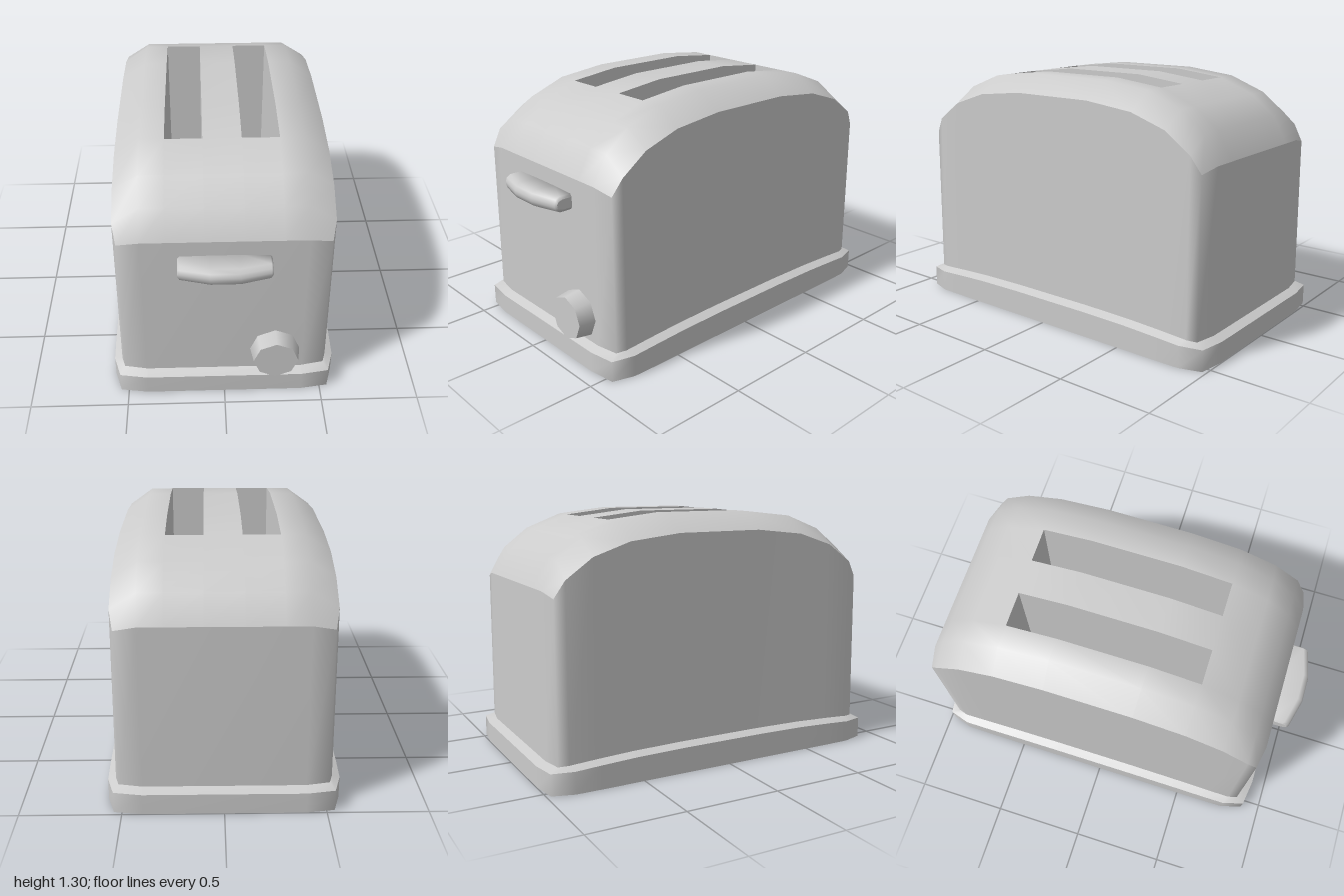
import * as THREE from 'three';

const material = new THREE.MeshStandardMaterial({ color: 0xcccccc, side: THREE.DoubleSide });
const ZC = -0.04; // z of the body centre

function mesh(name, geometry) {
  const m = new THREE.Mesh(geometry, material);
  m.name = name;
  return m;
}

// Skin a list of rows of [x, y, z] points; flat gives faceted shading.
function skin(rows, closed = false, flat = false) {
  const n = rows[0].length, index = [];
  for (let r = 0; r < rows.length - 1; r++) {
    for (let c = 0; c < (closed ? n : n - 1); c++) {
      if (rows.skip && rows.skip(r, c)) continue;
      const a = r * n + c, b = r * n + (c + 1) % n;
      index.push(a, b, b + n, a, b + n, a + n);
    }
  }
  let g = new THREE.BufferGeometry();
  g.setAttribute('position', new THREE.Float32BufferAttribute(rows.flat(2), 3));
  g.setIndex(index);
  if (flat) g = g.toNonIndexed();
  g.computeVertexNormals();
  return g;
}

// Mirror one quarter outline (front centre towards side) into a full ring.
function ring(quarter) {
  const rev = [...quarter].reverse();
  const place = (pts, sx, sz) => pts.map(([x, y, z]) => [sx * x, y, ZC + sz * z]);
  return [...place(quarter, 1, 1), ...place(rev, 1, -1), ...place(quarter, -1, -1), ...place(rev, -1, 1)];
}

// Roof arch: half lengths and heights at the middle, and at the lowered side edge
const arch = [[0.908, 0.96], [0.83, 1.1], [0.7, 1.2], [0.505, 1.275], [0.235, 1.305]];
const edge = [[0.51, 0.935, 0.888], [0.527, 1.02, 0.835], [0.527, 1.12, 0.695], [0.526, 1.185, 0.5], [0.525, 1.215, 0.23]];
const both = (half) => [...half.map((p) => [p, 1]), ...[...half].reverse().map((p) => [p, -1])];

function createBody() {
  const body = new THREE.Group();
  body.name = 'body';

  // Walls, rising to the arched edge
  const top = [[0.4, 0.96, 0.908], ...edge];
  const foot = top.map(([x, , z], i) => [i ? x + 0.007 : x, 0.1, z + 0.004]);
  body.add(mesh('walls', skin([ring(foot), ring(top)], true)));

  // Roof with two slot openings
  const columns = [-0.4, -0.28, -0.095, 0.095, 0.28, 0.4];
  const sides = both(edge);
  const rows = both(arch).map(([[h, y], s], i) => {
    const [ex, ey, ez] = sides[i][0], z = ZC + s * ez;
    return [[-ex, ey, z], ...columns.map((x) => [x, y, ZC + s * h]), [ex, ey, z]];
  });
  rows.skip = (r, c) => r >= 3 && r <= 5 && (c === 2 || c === 4);
  body.add(mesh('roof', skin(rows)));

  // Slot linings
  const floorY = 0.45;
  for (const c of [2, 4]) {
    const span = rows.slice(3, 7);
    const rim = [...span.map((r) => r[c]), ...span.map((r) => r[c + 1]).reverse()];
    const low = rim.map(([x, , z]) => [x, floorY, z]);
    const slot = new THREE.Group();
    slot.name = c === 2 ? 'rightSlot' : 'leftSlot';
    slot.add(mesh('slotWalls', skin([low, rim], true, true)));
    slot.add(mesh('slotFloor', skin([[low[0], low[7]], [low[3], low[4]]])));
    body.add(slot);
  }
  return body;
}

function createBase() {
  const base = new THREE.Group();
  base.name = 'base';
  // Outer outline with a slightly bowed rim, and the ledge meeting the walls
  const rim = [[0.4, 0.108, 0.958], [0.54, 0.11, 0.938], [0.575, 0.114, 0.825], [0.577, 0.122, 0.69], [0.577, 0.13, 0.5], [0.577, 0.134, 0.23]];
  const inner = [[0.4, 0.128, 0.908], ...edge].map(([x, , z], i) => [i ? x + 0.005 : x, rim[i][1] + 0.02, z]);
  const outer = ring(rim), bottom = outer.map(([x, , z]) => [x, 0, z]);
  const centre = bottom.map(() => [0, 0, ZC]);
  base.add(mesh('baseSides', skin([bottom, outer], true)));
  base.add(mesh('baseLedge', skin([outer, ring(inner)], true)));
  base.add(mesh('baseUnderside', skin([centre, bottom], true)));
  return base;
}

function createLever() {
  const lever = new THREE.Group();
  lever.name = 'lever';
  // Rounded bar bowed forward in the middle: [x, front z, half height]
  const stations = [[-0.225, 0.952, 0.026], [-0.215, 0.962, 0.04], [-0.07, 0.998, 0.043], [0.07, 0.998, 0.043], [0.215, 0.962, 0.04], [0.225, 0.952, 0.026]];
  const rows = stations.map(([x, f, h]) =>
    [[0.86, 1], [f - 0.03, 1], [f - 0.008, 0.7], [f, 0.2], [f, -0.2], [f - 0.008, -0.7], [f - 0.03, -1], [0.86, -1]]
      .map(([z, k]) => [x, 0.837 + k * h, z]));
  const cap = (x) => rows[0].map(() => [x, 0.837, 0.91]);
  lever.add(mesh('leverBar', skin(rows, true)));
  lever.add(mesh('leverRightEnd', skin([cap(-0.225), rows[0]], true)));
  lever.add(mesh('leverLeftEnd', skin([rows[5], cap(0.225)], true)));
  return lever;
}

export function createModel() {
  const toaster = new THREE.Group();
  toaster.name = 'toaster';
  toaster.add(createBase(), createBody(), createLever());

  // Eight-sided browning knob
  const knob = mesh('knob', new THREE.CylinderGeometry(0.113, 0.128, 0.1, 8).rotateX(Math.PI / 2));
  knob.position.set(0.258, 0.256, 0.908);
  toaster.add(knob);
  return toaster;
}
